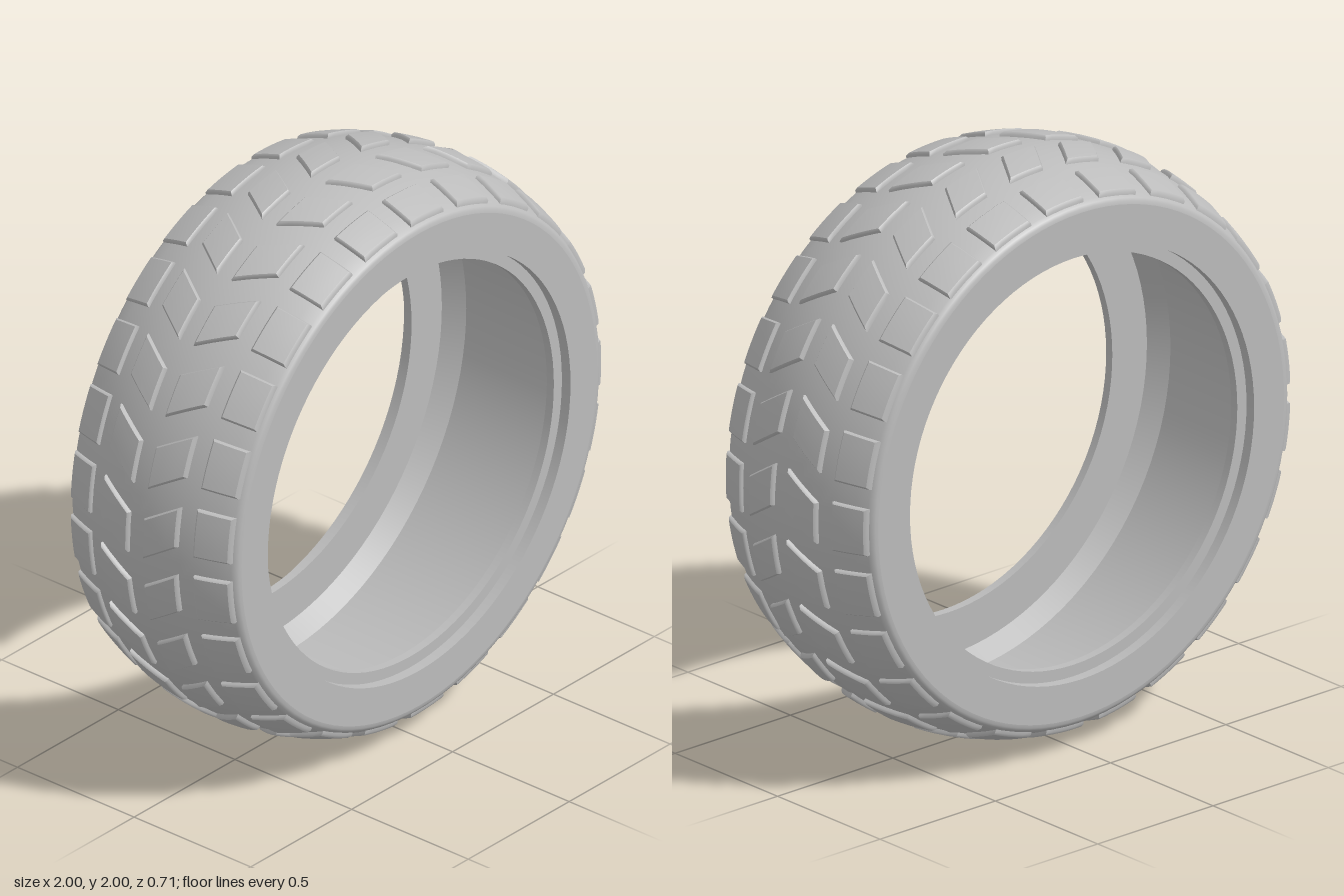
import * as THREE from 'three';
import { mergeGeometries } from 'three/addons/utils/BufferGeometryUtils.js';

const BLOCKS = 25;      // tread blocks in each row
const SIDES = 100;      // segments around the tyre
const crown = (z) => 0.985 - 0.65 * z * z;   // radius of the tread surface

// Smooth strip of revolution about z, from [radius, z] points
function strip(points) {
  const g = new THREE.LatheGeometry(points.map(([r, z]) => new THREE.Vector2(r, z)), SIDES);
  return g.rotateX(Math.PI / 2);
}

// Mirrors a strip to the back half, keeping the faces outward
const mirrored = (points) => points.map(([r, z]) => [r, -z]).reverse();

// Raised block wrapped onto the tread, with bevelled top edges
function blockGeometry({ z, depth, width, shear, height }, side) {
  const g = new THREE.BoxGeometry(1, 1, 1, 5, 2, 4);
  const p = g.attributes.position;
  for (let i = 0; i < p.count; i++) {
    const level = Math.round((p.getY(i) + 0.5) * 2);        // 0 base, 1 bevel start, 2 top
    const inset = level === 2 ? 0.014 : 0;
    const u = p.getX(i) * (width - inset);
    const v = p.getZ(i) * (depth - inset);
    const zz = side * z + v;
    const phi = u + shear * (Math.abs(zz) - z);
    const r = crown(zz) + [-0.006, height * 0.55, height][level];
    p.setXYZ(i, r * Math.sin(phi), r * Math.cos(phi), zz);
  }
  g.computeVertexNormals();
  return g;
}

export function createModel() {
  const model = new THREE.Group();
  model.name = 'tyre';
  const rubber = new THREE.MeshStandardMaterial({ color: 0xbcbcbc });
  rubber.name = 'grey rubber';

  const wheel = new THREE.Group();
  wheel.name = 'tyreRing';
  wheel.position.y = 1;
  model.add(wheel);

  const add = (geometry, name) => {
    const mesh = new THREE.Mesh(geometry, rubber);
    mesh.name = name;
    wheel.add(mesh);
    return mesh;
  };

  // Tread surface with rounded shoulders
  const shoulder = [[0.9, 0.35], [0.891, 0.355], [0.88, 0.357]];
  const tread = mirrored(shoulder);
  for (let i = -8; i <= 8; i++) {
    const z = (i / 8) * 0.338;
    tread.push([crown(z), z]);
  }
  tread.push(...shoulder);
  add(strip(tread), 'treadSurface');

  // Sidewalls, recessed rim ledges and inner walls, one hard-edged strip each
  const edges = [[0.88, 0.357], [0.75, 0.357], [0.75, 0.32], [0.71, 0.32],
    [0.71, 0.29], [0.86, 0.29], [0.9, 0.22]];
  const names = ['sidewall', 'rimStep', 'rimLedge', 'beadBore', 'innerWall', 'innerChamfer'];
  names.forEach((name, i) => {
    const pair = [edges[i], edges[i + 1]];
    add(mergeGeometries([strip(pair), strip(mirrored(pair))]), name);
  });

  // Hollow inside of the tread
  add(strip([[0.9, 0.22], [0.9, -0.22]]), 'innerCavity');

  // Two rows of slanted centre blocks and two rows of square shoulder blocks
  const rows = [
    { name: 'centreBlock', z: 0.097, depth: 0.132, width: 0.147, shear: 0.63, height: 0.016, turn: -0.037 },
    { name: 'shoulderBlock', z: 0.281, depth: 0.122, width: 0.178, shear: 0, height: 0.015, turn: 0 },
  ];
  for (const row of rows) {
    for (const side of [1, -1]) {
      const geometry = blockGeometry(row, side);
      for (let k = 0; k < BLOCKS; k++) {
        const block = add(geometry, row.name);
        block.rotation.z = -(Math.PI / 2 + row.turn + (k / BLOCKS) * Math.PI * 2);
      }
    }
  }
  return model;
}
